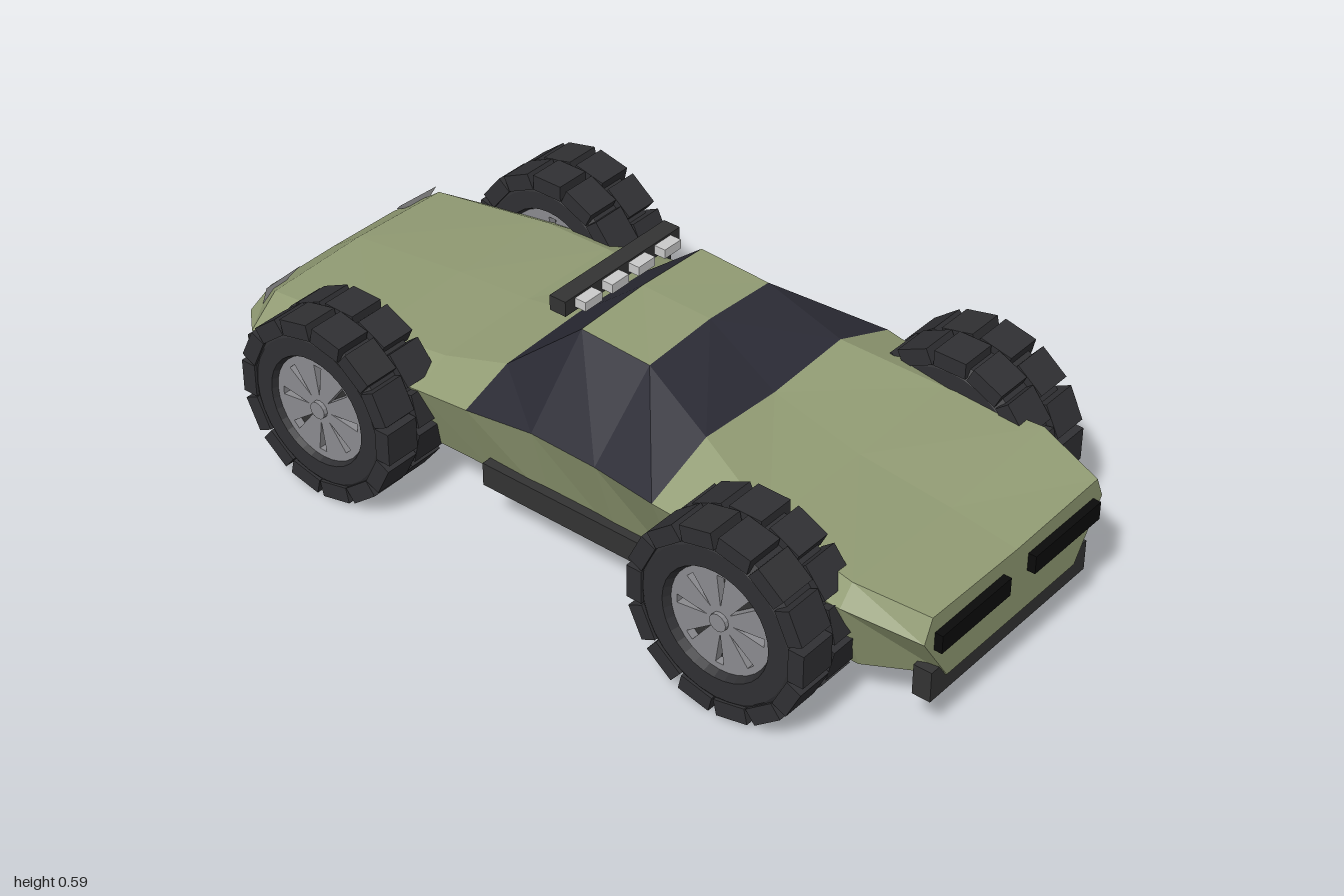
import * as THREE from 'three';

const mat = (color, extra = {}) => new THREE.MeshStandardMaterial({ color, flatShading: true, ...extra });
const paint = mat(0x929c74);
const glass = mat(0x2b2b35);
const rubber = mat(0x303033);
const plastic = mat(0x333333);
const black = mat(0x0b0b0b);
const metal = mat(0x8c8c90);
const lamp = mat(0xcccccc, { side: THREE.DoubleSide });

function add(parent, name, geometry, material, x = 0, y = 0, z = 0) {
  const mesh = new THREE.Mesh(geometry, material);
  mesh.name = name;
  mesh.position.set(x, y, z);
  parent.add(mesh);
  return mesh;
}

// Box given by its limits on each axis
function addBox(parent, name, material, [x0, x1], [y0, y1], [z0, z1]) {
  return add(parent, name, new THREE.BoxGeometry(x1 - x0, y1 - y0, z1 - z0), material,
    (x0 + x1) / 2, (y0 + y1) / 2, (z0 + z1) / 2);
}

// Body cross-sections, front to back:
// z, bottom x y, belt x y, shoulder x y, centre y
const SECTIONS = [
  [0.98, 0.235, 0.145, 0.325, 0.28, 0.30, 0.337, 0.33],
  [0.81, 0.31, 0.13, 0.385, 0.325, 0.345, 0.37, 0.355],
  [0.57, 0.31, 0.13, 0.40, 0.35, 0.31, 0.385, 0.38],
  [0.34, 0.31, 0.13, 0.415, 0.38, 0.235, 0.45, 0.437],
  [0.16, 0.31, 0.13, 0.388, 0.372, 0.205, 0.538, 0.55],
  [-0.03, 0.31, 0.13, 0.376, 0.365, 0.205, 0.548, 0.556],
  [-0.22, 0.31, 0.145, 0.378, 0.34, 0.24, 0.39, 0.40],
  [-0.37, 0.31, 0.143, 0.376, 0.325, 0.28, 0.367, 0.373],
  [-0.58, 0.31, 0.14, 0.376, 0.30, 0.295, 0.35, 0.358],
  [-0.91, 0.29, 0.13, 0.362, 0.24, 0.28, 0.308, 0.318],
  [-1.0, 0.22, 0.155, 0.28, 0.215, 0.21, 0.25, 0.253],
];
const WINDSHIELD = 3, ROOF = 4, REAR_WINDOW = 5;

function buildBody(group) {
  const rings = SECTIONS.map(([z, bx, by, sx, sy, tx, ty, cy]) =>
    [[-bx, by], [-sx, sy], [-tx, ty], [0, cy], [tx, ty], [sx, sy], [bx, by]].map(([x, y]) => [x, y, z]));
  const shell = [], windows = [];
  const n = 7;
  for (let j = 0; j < rings.length - 1; j++) {
    for (let i = 0; i < n; i++) {
      const k = (i + 1) % n;
      const a = rings[j][i], b = rings[j][k], c = rings[j + 1][k], d = rings[j + 1][i];
      const isSide = i === 1 || i === 4, isTop = i === 2 || i === 3;
      const isGlass = j >= WINDSHIELD && j <= REAR_WINDOW && (isSide || (isTop && j !== ROOF));
      // mirrored diagonals keep both sides alike
      const out = isGlass ? windows : shell;
      if (i < 3) out.push(...a, ...b, ...c, ...a, ...c, ...d);
      else out.push(...a, ...b, ...d, ...b, ...c, ...d);
    }
  }
  // end caps
  const front = rings[0], back = rings[rings.length - 1];
  for (let i = 1; i < n - 1; i++) {
    shell.push(...front[0], ...front[i + 1], ...front[i]);
    shell.push(...back[0], ...back[i], ...back[i + 1]);
  }
  const toGeometry = (points) => {
    const g = new THREE.BufferGeometry();
    g.setAttribute('position', new THREE.Float32BufferAttribute(points, 3));
    g.computeVertexNormals();
    return g;
  };
  add(group, 'bodyShell', toGeometry(shell), paint);
  add(group, 'windows', toGeometry(windows), glass);
}

// Rim disc with tapered slots between the spokes
function rimGeometry() {
  const shape = new THREE.Shape();
  shape.absarc(0, 0, 0.133, 0, Math.PI * 2);
  for (let i = 0; i < 8; i++) {
    const angle = (i / 8) * Math.PI * 2;
    const at = (r, off) => new THREE.Vector2(
      r * Math.cos(angle) - off * Math.sin(angle), r * Math.sin(angle) + off * Math.cos(angle));
    shape.holes.push(new THREE.Path([at(0.035, 0), at(0.115, -0.011), at(0.115, 0.011)]));
  }
  const g = new THREE.ExtrudeGeometry(shape, { depth: 0.15, bevelEnabled: false, curveSegments: 16 });
  return g.translate(0, 0, -0.075).rotateX(-Math.PI / 2);
}

// Wheel with its axle on local y, outer side towards +y
function buildWheel(name, radius, halfWidth) {
  const wheel = new THREE.Group();
  wheel.name = name;
  const r = radius - 0.02, w = halfWidth;
  const profile = [[0.128, -w + 0.03], [0.14, -w + 0.004], [r - 0.025, -w + 0.004], [r, -w + 0.02],
    [r, w - 0.02], [r - 0.025, w - 0.004], [0.14, w - 0.004], [0.128, w - 0.03]];
  add(wheel, 'tyre', new THREE.LatheGeometry(profile.map(([x, y]) => new THREE.Vector2(x, y)), 32), rubber);
  add(wheel, 'rim', rimGeometry(), metal);
  add(wheel, 'rimBacking', new THREE.CylinderGeometry(0.13, 0.13, 0.11, 24), plastic);
  add(wheel, 'hub', new THREE.CylinderGeometry(0.022, 0.028, 0.17, 12), metal);
  // two staggered rows of tread blocks
  const count = 14;
  const block = new THREE.BoxGeometry(0.04, w * 0.98, 0.084);
  for (const row of [-1, 1]) {
    for (let i = 0; i < count; i++) {
      const angle = ((i + (row > 0 ? 0.5 : 0)) / count) * Math.PI * 2;
      const d = radius - 0.022;
      const m = add(wheel, 'treadBlock', block, rubber,
        d * Math.cos(angle), row * w * 0.51, -d * Math.sin(angle));
      m.rotation.y = angle;
    }
  }
  return wheel;
}

export function createModel() {
  const model = new THREE.Group();
  model.name = 'buggy';
  buildBody(model);

  // wheels
  for (const side of [1, -1]) {
    const label = side > 0 ? 'Left' : 'Right';
    for (const [name, x, z, radius, halfWidth] of [
      ['front', 0.408, 0.58, 0.235, 0.098],
      ['rear', 0.398, -0.58, 0.23, 0.093],
    ]) {
      const wheel = buildWheel(name + label + 'Wheel', radius, halfWidth);
      wheel.position.set(side * x, radius, z);
      wheel.rotation.z = -side * Math.PI / 2;
      model.add(wheel);
    }
    // side skirt
    const skirt = addBox(model, 'skirt' + label, plastic, [-0.025, 0.025], [0.13, 0.19], [-0.2, 0.42]);
    skirt.position.x = side * 0.327;

    // front grille slot
    const grille = addBox(model, 'grille' + label, black, [-0.122, 0.122], [0.246, 0.292], [0.95, 1.0]);
    grille.position.x = side * 0.167;

    // wedge-shaped tail lamp
    const tail = new THREE.BufferGeometry();
    tail.setAttribute('position', new THREE.Float32BufferAttribute([
      [0.17, 0.312, -0.935], [0.29, 0.312, -0.928], [0.275, 0.245, -0.962],
      [0.17, 0.312, -0.935], [0.275, 0.245, -0.962], [0.18, 0.288, -0.958],
    ].flatMap(([x, y, z]) => [side * x, y, z]), 3));
    tail.computeVertexNormals();
    add(model, 'tailLamp' + label, tail, lamp);
  }

  // bumpers
  addBox(model, 'frontBumper', plastic, [-0.285, 0.285], [0.1, 0.178], [0.93, 0.976]);
  addBox(model, 'rearBumper', plastic, [-0.3, 0.3], [0.1, 0.158], [-0.995, -0.94]);

  // roof light bar
  addBox(model, 'lightBar', plastic, [-0.195, 0.195], [0.55, 0.588], [-0.13, -0.085]);
  for (const x of [-0.135, -0.045, 0.045, 0.135]) {
    addBox(model, 'roofLamp', lamp, [x - 0.028, x + 0.028], [0.56, 0.583], [-0.086, -0.055]);
  }
  return model;
}
